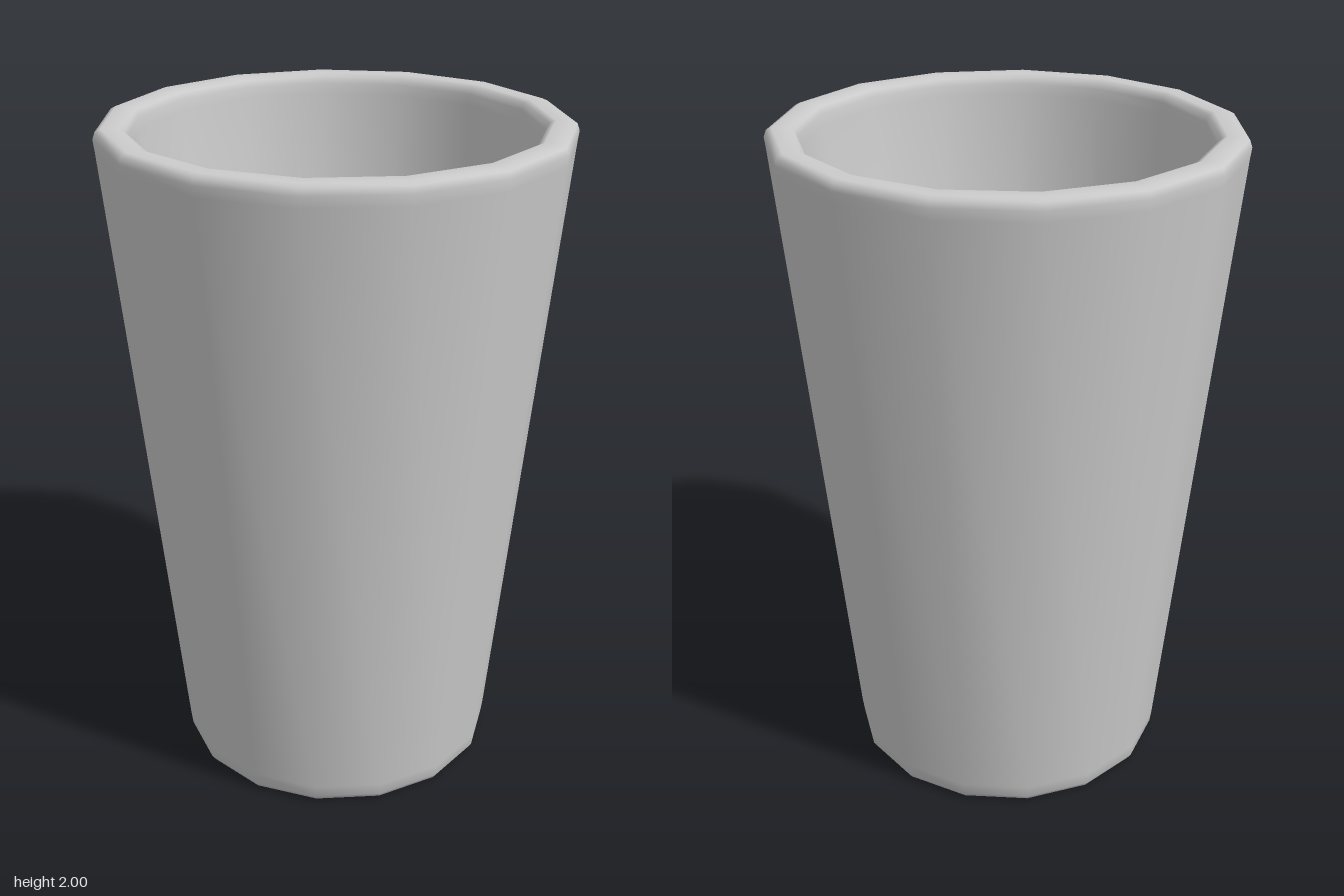
import * as THREE from 'three';

const SIDES = 15;

export function createModel() {
  const group = new THREE.Group();
  group.name = 'tumbler';

  // Closed profile: base centre, up the outside, over the rim, down to the inner floor
  const profile = [
    [0, 0], [0.445, 0], [0.466, 0.004], [0.479, 0.022],
    [0.484, 0.06], [0.676, 1.94],
    [0.68, 1.972], [0.673, 1.992], [0.657, 2],
    [0.612, 2], [0.595, 1.992], [0.588, 1.972],
    [0.584, 1.94], [0.397, 0.1], [0, 0.1],
  ].map(([r, y]) => new THREE.Vector2(r, y));

  // A corner of the polygon points to the back
  const geometry = new THREE.LatheGeometry(profile, SIDES, Math.PI);
  geometry.translate(0, 0, 0.34 * (1 - Math.cos(Math.PI / SIDES)));

  const cup = new THREE.Mesh(geometry, new THREE.MeshStandardMaterial({ color: 0xcccccc }));
  cup.name = 'cup';
  group.add(cup);
  return group;
}
